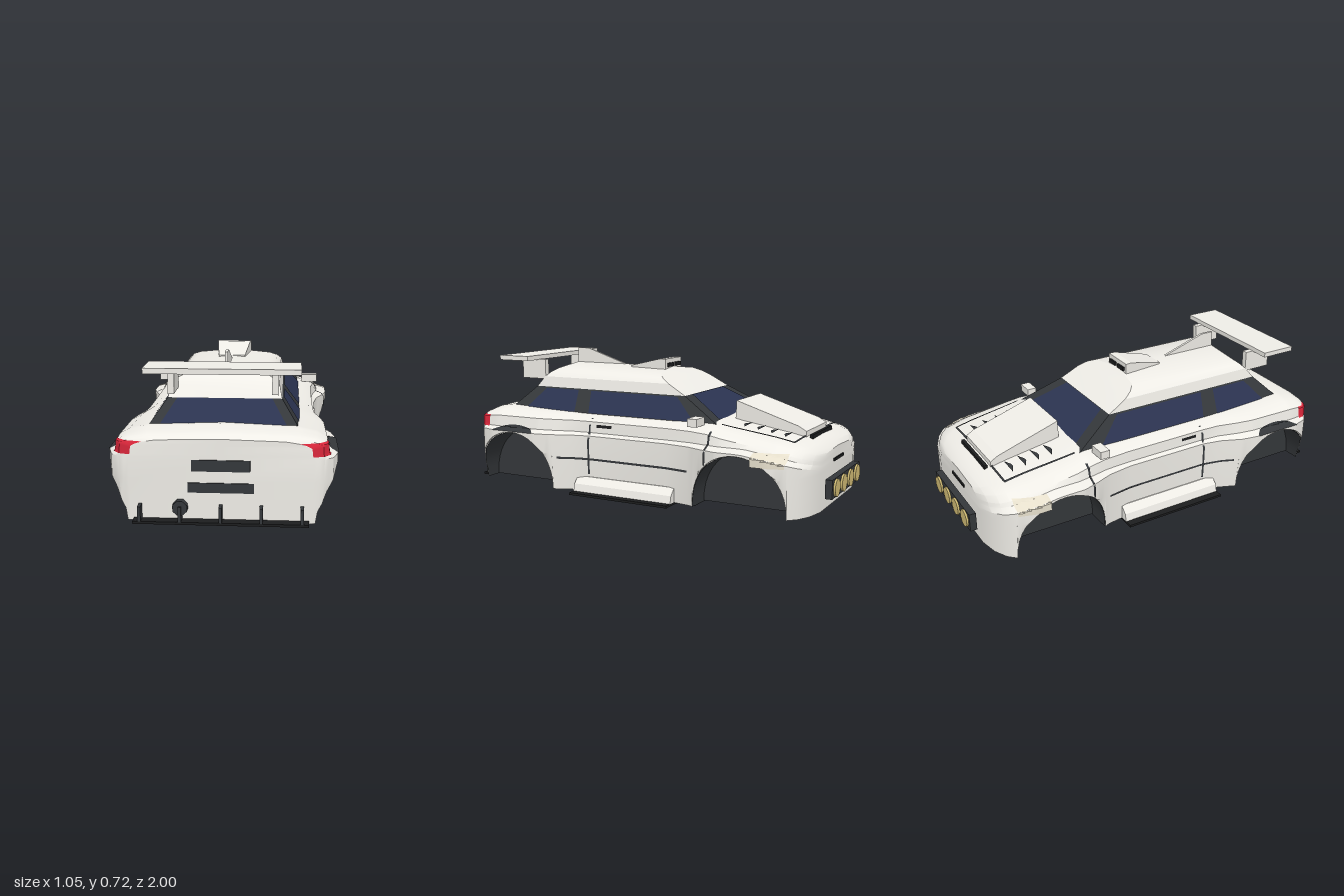
import * as THREE from 'three';
import { toCreasedNormals } from 'three/addons/utils/BufferGeometryUtils.js';

const mat = color => new THREE.MeshStandardMaterial({ color, side: THREE.DoubleSide });
const white = mat(0xeeece6), dark = mat(0x34373a), black = mat(0x1c1d1e), glass = mat(0x2b3350);
const red = mat(0xd8263a), gold = mat(0xd0bb74), cream = mat(0xe6dfcc);
const { lerp } = THREE.MathUtils;

// Body stations: z, widest half width, upper half width, upper height, centre height
const STATIONS = [
  [-0.945, 0.28, 0.25, 0.25, 0.29], [-0.925, 0.38, 0.34, 0.27, 0.31], [-0.89, 0.45, 0.4, 0.285, 0.33],
  [-0.85, 0.49, 0.43, 0.3, 0.345], [-0.75, 0.52, 0.45, 0.32, 0.365], [-0.5, 0.52, 0.45, 0.355, 0.405],
  [-0.42, 0.495, 0.44, 0.368, 0.422], [-0.33, 0.46, 0.425, 0.372, 0.425], [-0.2, 0.44, 0.42, 0.375, 0.42],
  [0.25, 0.44, 0.42, 0.375, 0.42], [0.35, 0.46, 0.425, 0.375, 0.42], [0.46, 0.505, 0.45, 0.375, 0.42],
  [0.55, 0.52, 0.465, 0.375, 0.42], [0.82, 0.52, 0.47, 0.375, 0.43], [0.9, 0.495, 0.468, 0.37, 0.415],
  [0.935, 0.455, 0.445, 0.365, 0.4], [0.95, 0.41, 0.395, 0.355, 0.39],
];
const ARCHES = [{ z: -0.605, r: 0.245, h: 0.28 }, { z: 0.695, r: 0.25, h: 0.285 }];
const FLOOR = 0.01;

// Wheel arch outline as [z, y] points
const archPoints = (a, n = 20) => Array.from({ length: n + 1 }, (_, i) => {
  const t = Math.PI * (1 - i / n);
  return [a.z + a.r * Math.cos(t), FLOOR + a.h * Math.pow(Math.max(0, Math.sin(t)), 0.9)];
});
function archHeight(z) {
  for (const a of ARCHES) {
    const d = Math.abs(z - a.z) / a.r;
    if (d < 1) return FLOOR + a.h * Math.pow(1 - d * d, 0.45);
  }
  return FLOOR;
}

// Half cross-section from the lower edge to the centre line
function profile(z, cut = FLOOR) {
  let i = 1;
  while (i < STATIONS.length - 1 && z > STATIONS[i][0]) i++;
  const a = STATIONS[i - 1], b = STATIONS[i];
  const t = THREE.MathUtils.clamp((z - a[0]) / (b[0] - a[0]), 0, 1);
  const [, w, wu, yu, top] = a.map((v, k) => lerp(v, b[k], t));
  const flare = Math.min(0.302, yu - 0.035);
  return [
    [w * 0.985, cut], [w, Math.max(0.2, cut + 0.002)], [w, Math.max(flare, cut + 0.004)],
    [lerp(wu, w, 0.2), flare + 0.016], [wu, yu], [wu * 0.9, lerp(yu, top, 0.5)], [wu * 0.72, lerp(yu, top, 0.8)], [0, top],
  ];
}
// Interpolates along a profile: known coordinate k, wanted coordinate 1 - k
function along(pts, k, value) {
  for (let i = 1; i < pts.length; i++) {
    const a = pts[i - 1], b = pts[i];
    if ((value - a[k]) * (value - b[k]) <= 0 && a[k] !== b[k])
      return lerp(a[1 - k], b[1 - k], (value - a[k]) / (b[k] - a[k]));
  }
  return pts[pts.length - 1][1 - k];
}
const sideX = (z, y) => along(profile(z), 1, y);
const topY = (z, x) => along(profile(z).slice(4), 0, Math.abs(x));

// Surface through rows of points
function grid(rows, crease = 0.5) {
  const n = rows[0].length, idx = [];
  for (let r = 0; r < rows.length - 1; r++) for (let c = 0; c < n - 1; c++) {
    const a = r * n + c;
    idx.push(a, a + 1, a + n, a + 1, a + n + 1, a + n);
  }
  const g = new THREE.BufferGeometry();
  g.setAttribute('position', new THREE.Float32BufferAttribute(rows.flat(2), 3));
  g.setIndex(idx);
  return toCreasedNormals(g, crease);
}

export function createModel() {
  const car = new THREE.Group();
  const add = (name, geo, m) => {
    const mesh = new THREE.Mesh(geo, m);
    mesh.name = name;
    car.add(mesh);
    return mesh;
  };
  // Box given by its limits
  const box = (name, x0, x1, y0, y1, z0, z1, m) =>
    add(name, new THREE.BoxGeometry(x1 - x0, y1 - y0, z1 - z0), m)
      .position.set((x0 + x1) / 2, (y0 + y1) / 2, (z0 + z1) / 2);
  // Side outline of [z, y] points extruded across x
  const slab = (name, pts, x0, x1, m) => {
    const g = new THREE.ExtrudeGeometry(new THREE.Shape(pts.map(([z, y]) => new THREE.Vector2(-z, y))),
      { depth: x1 - x0, bevelEnabled: false });
    return add(name, g.rotateY(Math.PI / 2).translate(x0, 0, 0), m);
  };
  const quad = (name, a, b, c, d, m) => add(name, grid([[a, b], [d, c]]), m);
  // Thin panels following the body side or the bonnet; arc lowers the ends of a side panel
  const sidePatch = (name, s, z0, z1, y0, y1, m, n = 10, arc = 0) => add(name, grid(Array.from({ length: n + 1 }, (_, i) => {
    const z = lerp(z0, z1, i / n), drop = arc * Math.pow(2 * i / n - 1, 2);
    return Array.from({ length: 9 }, (_, j) => {
      const y = lerp(y0, y1 - drop, j / 8);
      return [s * (sideX(z, y) + 0.005), y, z];
    });
  })), m);
  const topPatch = (name, x0, x1, x2, x3, z0, z1, m, n = 8) => add(name, grid(Array.from({ length: n + 1 }, (_, i) => {
    const z = lerp(z0, z1, i / n);
    return [0, 0.5, 1].map(t => {
      const x = lerp(lerp(x0, x2, i / n), lerp(x1, x3, i / n), t);
      return [x, topY(z, x) + 0.006, z];
    });
  })), m);

  // Body shell
  const zs = new Set(STATIONS.map(s => s[0]));
  ARCHES.forEach(a => archPoints(a).forEach(p => zs.add(+p[0].toFixed(4))));
  const rows = [...zs].sort((a, b) => a - b).map(z => {
    const half = profile(z, archHeight(z)).map(([x, y]) => [x, y, z]);
    return [...half, ...half.slice(0, -1).reverse().map(([x, y]) => [-x, y, z])];
  });
  const flat = row => row.map(([, y, z]) => [0, y, z]);
  add('body', grid([flat(rows[0]), ...rows, flat(rows[rows.length - 1])]), white);

  // Wheel wells following the fender width, with inner walls
  ARCHES.forEach(a => {
    const p = archPoints(a);
    add('wheelWell', grid([-1, 1].map(s => p.map(([z, y]) => [s * (profile(z)[0][0] - 0.002), y - 0.002, z]))), dark);
    for (const x of [-0.33, 0.33])
      add('wheelWellWall', grid([p.map(([z, y]) => [x, y, z]), p.map(([z]) => [x, FLOOR, z])]), dark);
  });
  box('floor', -0.43, 0.43, 0.005, 0.015, -0.36, 0.445, black);
  box('sillPlate', -0.525, 0.525, 0, 0.012, -0.25, 0.32, black);

  // Cabin: rings of height, half width, front z, rear z
  const ring = ([y, x, f, r, bulge]) => [[x, y, f], [x, y, r], [0, y, r + bulge], [-x, y, r], [-x, y, f], [0, y, f - bulge], [x, y, f]];
  const LOW = [0.4, 0.35, -0.44, 0.82, 0], HIGH = [0.52, 0.265, -0.22, 0.7, 0];
  add('windowFrame', grid([LOW, HIGH].map(ring).reverse(), 0.3), dark);
  add('roof', grid([HIGH, [0.575, 0.253, -0.12, 0.655, 0.01], [0.6, 0.23, -0.075, 0.63, 0.01],
    [0.618, 0.19, -0.04, 0.61, 0.01], [0.64, 0.0, -0.015, 0.6, 0]].map(ring).reverse(), 0.45), white);

  // Glass
  const sidePane = (s, z, t) => [s * (lerp(LOW[1], HIGH[1], t) + 0.004), lerp(0.4, 0.52, t), z];
  const endPane = (x, t, k) => [x, lerp(0.4, 0.52, t) + 0.002, lerp(LOW[k], HIGH[k], t) + (k === 2 ? -0.004 : 0.004)];
  quad('windscreen', endPane(-0.275, 0.12, 2), endPane(0.275, 0.12, 2), endPane(0.19, 0.99, 2), endPane(-0.19, 0.99, 2), glass);
  quad('rearWindow', endPane(-0.29, 0.12, 3), endPane(0.29, 0.12, 3), endPane(0.22, 0.99, 3), endPane(-0.22, 0.99, 3), glass);

  for (const s of [-1, 1]) {
    const span = (a, b) => s > 0 ? [a, b] : [-b, -a];
    quad('doorWindow', sidePane(s, 0.31, 0.05), sidePane(s, -0.31, 0.05), sidePane(s, -0.18, 0.95), sidePane(s, 0.34, 0.95), glass);
    quad('rearSideWindow', sidePane(s, 0.72, 0.05), sidePane(s, 0.4, 0.05), sidePane(s, 0.42, 0.95), sidePane(s, 0.63, 0.95), glass);

    // Side details
    sidePatch('doorSeam', s, 0.245, 0.256, 0.1, 0.39, dark, 1);
    sidePatch('frontDoorSeam', s, -0.446, -0.435, 0.23, 0.38, dark, 1);
    sidePatch('trimLine', s, -0.33, 0.42, 0.175, 0.186, dark, 24);
    sidePatch('doorHandle', s, 0.12, 0.21, 0.347, 0.362, black, 1);
    sidePatch('archTrim', s, 0.56, 0.82, 0.302, 0.333, dark, 12, 0.028);
    sidePatch('headlight', s, -0.84, -0.68, 0.25, 0.31, cream);
    sidePatch('tailLight', s, 0.87, 0.95, 0.315, 0.375, red, 16);
    box('mirror', ...span(0.37, 0.46), 0.4, 0.44, -0.38, -0.33, white);
    const sill = new THREE.Shape([[0.4, 0.012], [0.485, 0.012], [0.475, 0.05], [0.44, 0.085], [0.4, 0.085]]
      .map(([x, y]) => new THREE.Vector2(s * x, y)));
    add('sill', new THREE.ExtrudeGeometry(sill, { depth: 0.57, bevelEnabled: false }).translate(0, 0, -0.25), white);

    // Bonnet seams and louvres
    topPatch('bonnetSeam', s * 0.315, s * 0.328, s * 0.335, s * 0.345, -0.83, -0.46, dark);
    topPatch('bonnetFrontSeam', s * 0.16, s * 0.32, s * 0.16, s * 0.32, -0.832, -0.822, dark, 1);
    for (let i = 0; i < 4; i++)
      topPatch('louvre', s * 0.17, s * 0.28, s * 0.22, s * 0.24, -0.765 + i * 0.07, -0.745 + i * 0.07, dark, 1);

    // Rear wing struts and roof intakes
    box('wingStrut', ...span(0.22, 0.25), 0.56, 0.668, 0.655, 0.81, white);
    box('roofIntake', ...span(0.012, 0.07), 0.642, 0.662, -0.025, 0, black);
  }
  box('rearWing', -0.35, 0.35, 0.665, 0.69, 0.7, 0.89, white);

  // Bonnet scoop, roof scoop and roof fin
  slab('bonnetScoop', [[-0.83, 0.34], [-0.83, 0.372], [-0.79, 0.395], [-0.46, 0.5], [-0.455, 0.4]], -0.16, 0.16, white);
  box('bonnetSlot', -0.155, 0.155, 0.335, 0.357, -0.862, -0.845, black);
  const scoop = slab('roofScoop', [[-0.015, 0.63], [-0.015, 0.685], [0.02, 0.685], [0.21, 0.64], [0.21, 0.63]], -0.09, 0.09, white);
  const sp = scoop.geometry.attributes.position;
  for (let i = 0; i < sp.count; i++) sp.setX(i, sp.getX(i) * lerp(1, 0.75, (sp.getZ(i) + 0.015) / 0.225));
  scoop.geometry.computeVertexNormals();
  slab('roofFin', [[0.27, 0.635], [0.53, 0.72], [0.6, 0.72], [0.6, 0.63]], -0.007, 0.007, white);

  // Lamp pod on the nose
  box('lampPod', -0.24, 0.24, 0.068, 0.163, -0.99, -0.955, dark);
  for (let i = 0; i < 4; i++) {
    const lamp = add('lamp', new THREE.CylinderGeometry(0.045, 0.045, 0.03, 10), gold);
    lamp.rotation.x = Math.PI / 2;
    lamp.position.set(-0.18 + i * 0.12, 0.115, -0.985);
  }
  for (const x of [-0.17, 0.17]) box('lampBracket', x - 0.02, x + 0.02, 0.1, 0.13, -0.957, -0.94, gold);
  box('noseSlot', -0.08, 0.08, 0.222, 0.236, -0.952, -0.94, black);

  // Rear details
  box('rearVent', -0.13, 0.13, 0.243, 0.295, 0.94, 0.955, dark);
  box('rearVent', -0.147, 0.147, 0.145, 0.19, 0.94, 0.955, dark);
  const pipe = add('exhaust', new THREE.CylinderGeometry(0.035, 0.035, 0.04, 8), dark);
  pipe.rotation.set(Math.PI / 2, Math.PI / 8, 0);
  pipe.position.set(-0.18, 0.08, 0.965);
  box('diffuser', -0.39, 0.39, 0.01, 0.022, 0.945, 1, black);
  for (let i = -2; i <= 2; i++) box('diffuserFin', i * 0.18 - 0.007, i * 0.18 + 0.007, 0.015, 0.09, 0.95, 1, dark);

  return car;
}
